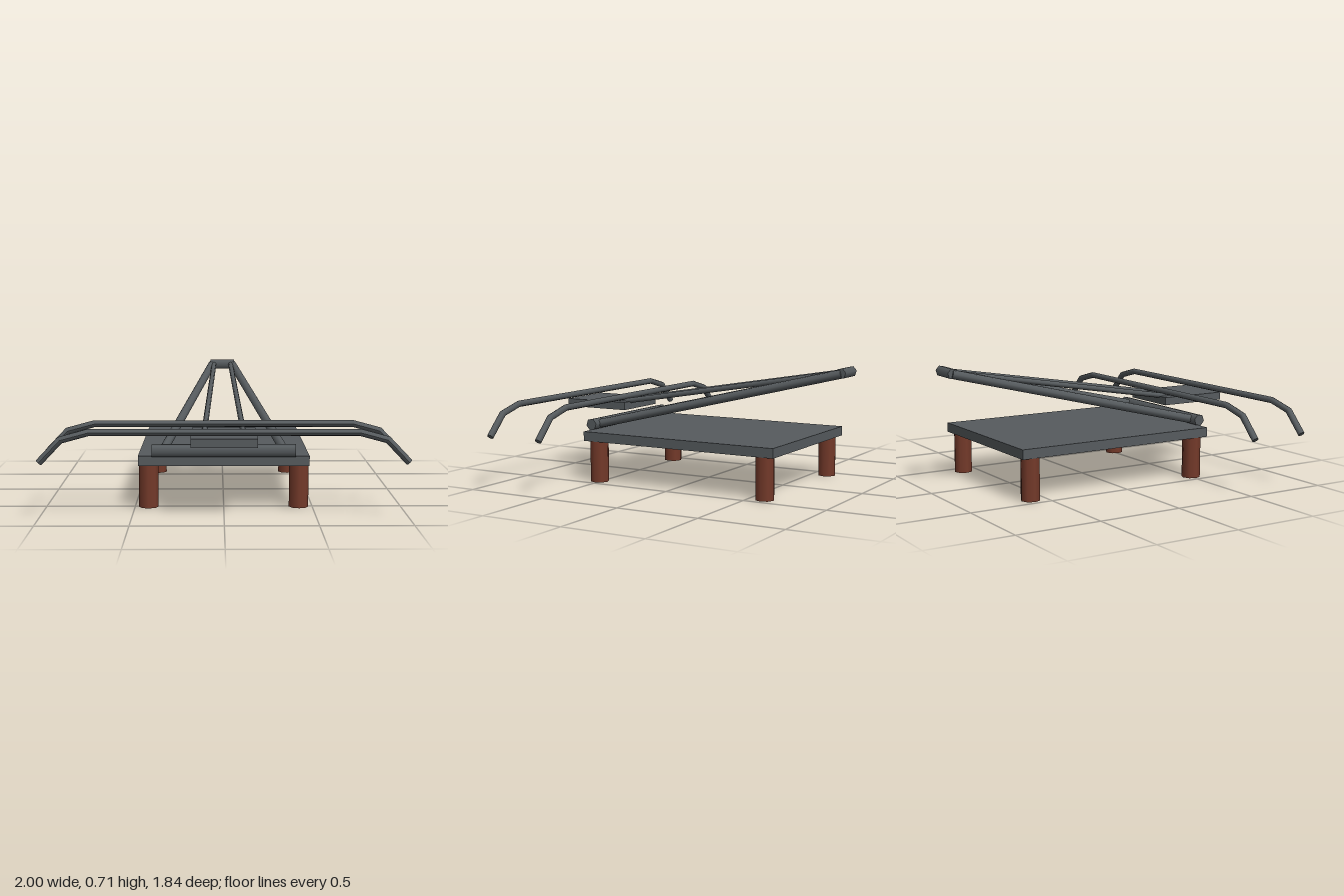
import * as THREE from 'three';

export function createModel() {
  const model = new THREE.Group();
  const steel = new THREE.MeshStandardMaterial({ color: 0x565b5e });
  steel.name = 'dark steel';
  const rust = new THREE.MeshStandardMaterial({ color: 0x743a2a });
  rust.name = 'rust brown';

  function add(name, geometry, material = steel) {
    const mesh = new THREE.Mesh(geometry, material);
    mesh.name = name;
    model.add(mesh);
    return mesh;
  }

  function box(name, w, h, d, x, y, z) {
    add(name, new THREE.BoxGeometry(w, h, d)).position.set(x, y, z);
  }

  // straight bar between two points
  function bar(name, from, to, radius, sides, spin = 0) {
    const a = new THREE.Vector3(...from), b = new THREE.Vector3(...to);
    const dir = b.clone().sub(a);
    const geometry = new THREE.CylinderGeometry(radius, radius, dir.length(), sides);
    geometry.rotateY(spin);
    const mesh = add(name, geometry);
    mesh.position.copy(a).add(b).multiplyScalar(0.5);
    mesh.quaternion.setFromUnitVectors(new THREE.Vector3(0, 1, 0), dir.normalize());
  }

  // bent bar with mitred corners, lying in an x-y plane
  function bentBar(name, points, radius, z) {
    const n = points.length - 1;
    const geometry = new THREE.CylinderGeometry(radius, radius, n, 8, n);
    geometry.rotateZ(-Math.PI / 2);
    const p = geometry.attributes.position;
    const path = points.map(([x, y]) => new THREE.Vector2(x, y));
    for (let i = 0; i < p.count; i++) {
      const k = Math.round(p.getX(i) + n / 2);
      const next = path[Math.min(k + 1, n)].clone().sub(path[Math.min(k, n - 1)]).normalize();
      const prev = path[Math.max(k, 1)].clone().sub(path[Math.max(k - 1, 0)]).normalize();
      const tangent = next.clone().add(prev).normalize();
      const offset = p.getY(i) / tangent.dot(next);
      p.setXY(i, path[k].x - tangent.y * offset, path[k].y + tangent.x * offset);
    }
    geometry.computeVertexNormals();
    add(name, geometry).position.z = z;
  }

  // deck and four legs
  box('deck', 0.956, 0.056, 1.255, 0, 0.273, -0.042);
  for (const x of [-0.423, 0.423]) {
    for (const z of [0.51, -0.595]) {
      add('leg', new THREE.CylinderGeometry(0.055, 0.055, 0.25, 8), rust).position.set(x, 0.125, z);
    }
  }

  // hinge bar on the deck and the bar at the raised end
  bar('hingeBar', [-0.4, 0.333, 0.585], [0.4, 0.333, 0.585], 0.036, 6, 0.2);
  bar('topBar', [-0.08, 0.684, -0.89], [0.08, 0.684, -0.89], 0.032, 6, 0.2);

  // sloping frame: thick outer arms and thin inner braces
  for (const side of [-1, 1]) {
    bar('outerArm', [side * 0.335, 0.335, 0.56], [side * 0.07, 0.682, -0.89], 0.026, 8);
    bar('innerBrace', [side * 0.11, 0.43, 0.63], [side * 0.055, 0.688, -0.89], 0.016, 8);
  }

  // plate carrying the two drooping handlebars
  box('carrierPlate', 0.357, 0.047, 0.423, 0, 0.424, 0.703);
  const half = [[0.985, 0.315], [0.87, 0.436], [0.722, 0.476]];
  const handle = [...half.map(([x, y]) => [-x, y]), ...half.slice().reverse()];
  for (const z of [0.873, 0.532]) bentBar('handlebar', handle, 0.019, z);

  return model;
}
